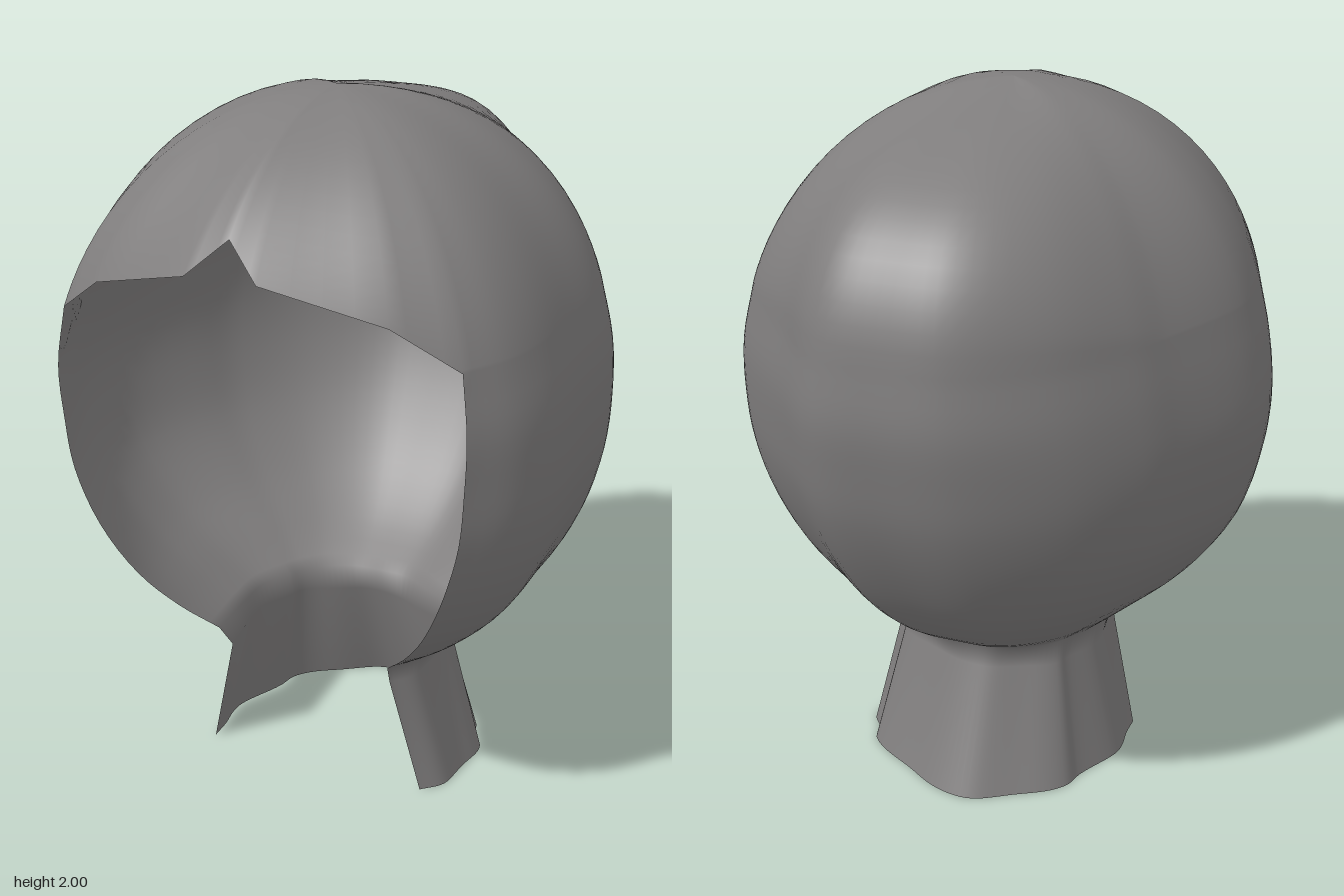
import * as THREE from 'three';

const V = (x, y, z) => new THREE.Vector3(x, y, z);
const { lerp, smoothstep, degToRad } = THREE.MathUtils;
const APEX = V(0.02, 2, 0.12);

// level: y, right side x, left side x, back z, right rim x, left rim x, rim z
const LEVELS = [
  [1.46, 0.675, 0.67, 0.755, 0.57, 0.54, 0.59],
  [1.3, 0.715, 0.71, 0.765, 0.59, 0.56, 0.605],
  [1.15, 0.725, 0.73, 0.74, 0.585, 0.555, 0.6],
  [1.0, 0.715, 0.715, 0.7, 0.57, 0.54, 0.59],
  [0.83, 0.67, 0.665, 0.62, 0.52, 0.49, 0.56],
  [0.66, 0.58, 0.545, 0.505, 0.44, 0.42, 0.49],
  [0.53, 0.46, 0.4, 0.37, 0.35, 0.345, 0.4],
  [0.43, 0.33, 0.28, 0.21, 0.26, 0.27, 0.31],
  [0.36, 0.315, 0.275, 0.2, 0.25, 0.25, 0.27],
  [0, 0.4, 0.35, 0.34, 0.33, 0.34, 0.23],
];
const BODY_LEVELS = 8;

// plan outline from right rim round the back to left rim, as fractions of side x and of back or rim z;
// in the front part the first number blends from rim x to side x
const FRONT = 0.3;
const OUTLINE = [
  [0.65, 0.79], [0.95, 0.55], [0.995, 0.15], [0.995, -0.17], [0.95, -0.32], [0.86, -0.46],
  [0.56, -0.73], [0.28, -0.97], [0.02, -0.99], [-0.25, -0.96], [-0.55, -0.77], [-0.75, -0.52],
  [-0.84, -0.33], [-0.99, 0.08], [-0.87, 0.42], [-0.46, 0.72],
];

// hairline from left rim to right rim
const FRINGE = [
  V(-0.54, 1.46, 0.59), V(-0.39, 1.57, 0.66), V(-0.08, 1.66, 0.76), V(0.02, 1.75, 0.71),
  V(0.11, 1.66, 0.75), V(0.41, 1.57, 0.66), V(0.57, 1.46, 0.59),
];

const COLS = 85, CROWN = 18, BODY = 28, SUB = 4;

function levelRing([y, xr, xl, zb, rr, rl, rz]) {
  const pts = OUTLINE.map(([u, w]) => {
    const [side, rim] = u > 0 ? [xr, rr] : [xl, rl];
    const k = Math.abs(u);
    const x = w > FRONT ? lerp(rim, side, k) : side * k;
    return V(Math.sign(u) * x, y, w * (w > 0 ? rz : zb));
  });
  const curve = new THREE.CatmullRomCurve3([V(rr, y, rz), ...pts, V(-rl, y, rz)]);
  const pleat = y < 0.4 ? 0.04 : 0;
  return curve.getPoints(COLS).map((p, i) => {
    // soft pleats in the neck
    const t = (i / COLS) * Math.PI;
    const s = 1 + pleat * Math.sin(t * 12) * Math.sin(t);
    return V(p.x * s, p.y, p.z < 0 ? p.z * s : p.z);
  });
}

// how far the crown has fallen at a given fraction of the way from apex to rim
function crownDrop(p, out) {
  const max = degToRad(52 + 20 * smoothstep(Math.abs(p.x), 0.1, 0.62));
  const dome = (1 - Math.sqrt(1 - (out * Math.sin(max)) ** 2)) / (1 - Math.cos(max));
  const shelf = 0.3 * out + 0.7 * (1 - Math.sqrt(1 - out ** 5));
  return lerp(dome, shelf, smoothstep(-p.z, 0.2, 0.74));
}

function shellGeometry() {
  const rings = LEVELS.map(levelRing);
  const rim = [...rings[0]];
  for (let i = 0; i < FRINGE.length - 1; i++) {
    for (let k = i === 0 ? 1 : 0; k < SUB; k++) rim.push(FRINGE[i].clone().lerp(FRINGE[i + 1], k / SUB));
  }
  const n = rim.length, pos = [], idx = [];

  // crown: meridians from the apex down to the rim
  for (let r = 0; r <= CROWN; r++) {
    const out = r === CROWN ? 1 : Math.sin((r / CROWN) * Math.PI / 2);
    for (const p of rim) {
      pos.push(lerp(APEX.x, p.x, out), lerp(APEX.y, p.y, crownDrop(p, out)), lerp(APEX.z, p.z, out));
    }
  }
  for (let r = 0; r < CROWN; r++) {
    for (let c = 0; c < n; c++) {
      const a = r * n + c, b = r * n + ((c + 1) % n);
      if (r > 0) idx.push(a, a + n, b);
      idx.push(b, a + n, b + n);
    }
  }

  // sides and back curve down to the nape, then the neck flares straight; open at the face
  const base = CROWN * n, first = pos.length / 3, w = COLS + 1;
  const meridians = rings[0].map((_, c) => {
    const line = rings.map((ring) => ring[c]);
    const body = new THREE.CatmullRomCurve3(line.slice(0, BODY_LEVELS)).getPoints(BODY);
    return [...body, ...line.slice(BODY_LEVELS)];
  });
  const rows = meridians[0].length - 1;
  for (let r = 1; r <= rows; r++) for (const m of meridians) pos.push(m[r].x, m[r].y, m[r].z);
  const at = (r, c) => (r === 0 ? base + c : first + (r - 1) * w + c);
  for (let r = 0; r < rows; r++) {
    for (let c = 0; c < COLS; c++) {
      idx.push(at(r, c), at(r + 1, c), at(r, c + 1));
      idx.push(at(r, c + 1), at(r + 1, c), at(r + 1, c + 1));
    }
  }

  const g = new THREE.BufferGeometry();
  g.setAttribute('position', new THREE.Float32BufferAttribute(pos, 3));
  g.setIndex(idx);
  g.computeVertexNormals();
  return g;
}

export function createModel() {
  const group = new THREE.Group();
  group.name = 'hairShell';
  const grey = new THREE.MeshStandardMaterial({ color: 0x807e7e, side: THREE.DoubleSide });
  grey.name = 'warmGrey';
  const hair = new THREE.Mesh(shellGeometry(), grey);
  hair.name = 'hair';
  group.add(hair);
  return group;
}
